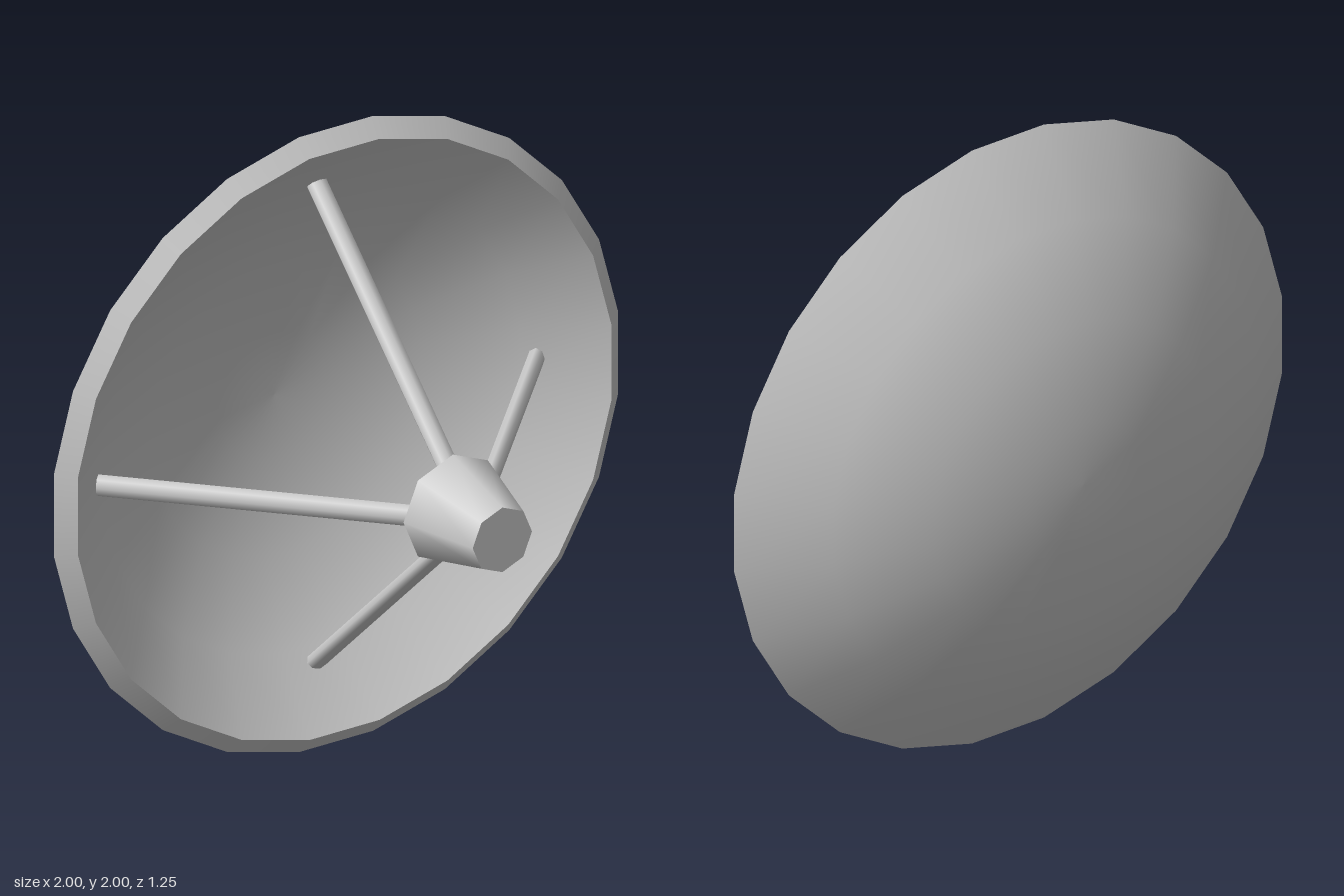
import * as THREE from 'three';

const SIDES = 24;
const K = 1 / Math.cos(Math.PI / SIDES); // flat-to-flat radius -> corner radius

export function createModel() {
  const model = new THREE.Group();
  model.name = 'dishAntenna';
  const mat = new THREE.MeshStandardMaterial({ color: 0xcccccc });

  function add(name, geometry, parent) {
    const mesh = new THREE.Mesh(geometry, mat);
    mesh.name = name;
    parent.add(mesh);
    return mesh;
  }

  // Surface of revolution about z from [radius, z] pairs
  function revolve(profile) {
    const pts = profile.map(([r, z]) => new THREE.Vector2(r * K, z));
    return new THREE.LatheGeometry(pts, SIDES, Math.PI / SIDES).rotateX(Math.PI / 2);
  }

  // Everything is laid out around the dish axis, which sits at y = 1
  const body = new THREE.Group();
  body.name = 'antennaBody';
  body.position.y = 1;
  model.add(body);

  // Dish: back shell, bevelled rim and hollow, kept apart for sharp edges
  add('dishBack', revolve([[0, -0.625], [0.2, -0.622], [0.5, -0.562], [0.77, -0.43], [1, -0.25]]), body);
  add('dishRim', revolve([[1, -0.25], [0.945, -0.205]]), body);
  add('dishHollow', revolve([[0.945, -0.205], [0.74, -0.38], [0.48, -0.51], [0.2, -0.57], [0, -0.575]]), body);

  // Receiver: tapered octagonal horn on the axis
  add('receiver', new THREE.CylinderGeometry(0.105, 0.175, 0.26, 8).rotateX(Math.PI / 2), body)
    .position.z = 0.495;

  // Four struts from the hollow to the receiver
  const foot = new THREE.Vector3(0, 0.785, -0.36);
  const tip = new THREE.Vector3(0, 0.07, 0.4);
  const dir = tip.clone().sub(foot);
  for (let i = 0; i < 4; i++) {
    const arm = new THREE.Group();
    arm.name = 'strut' + (i + 1);
    arm.rotation.z = i * Math.PI / 2;
    body.add(arm);
    const rod = add('strutRod', new THREE.CylinderGeometry(0.035, 0.035, dir.length(), 8).scale(1, 1, 0.75), arm);
    rod.position.copy(foot).add(tip).multiplyScalar(0.5);
    rod.rotation.x = Math.atan2(dir.z, dir.y);
  }
  return model;
}
